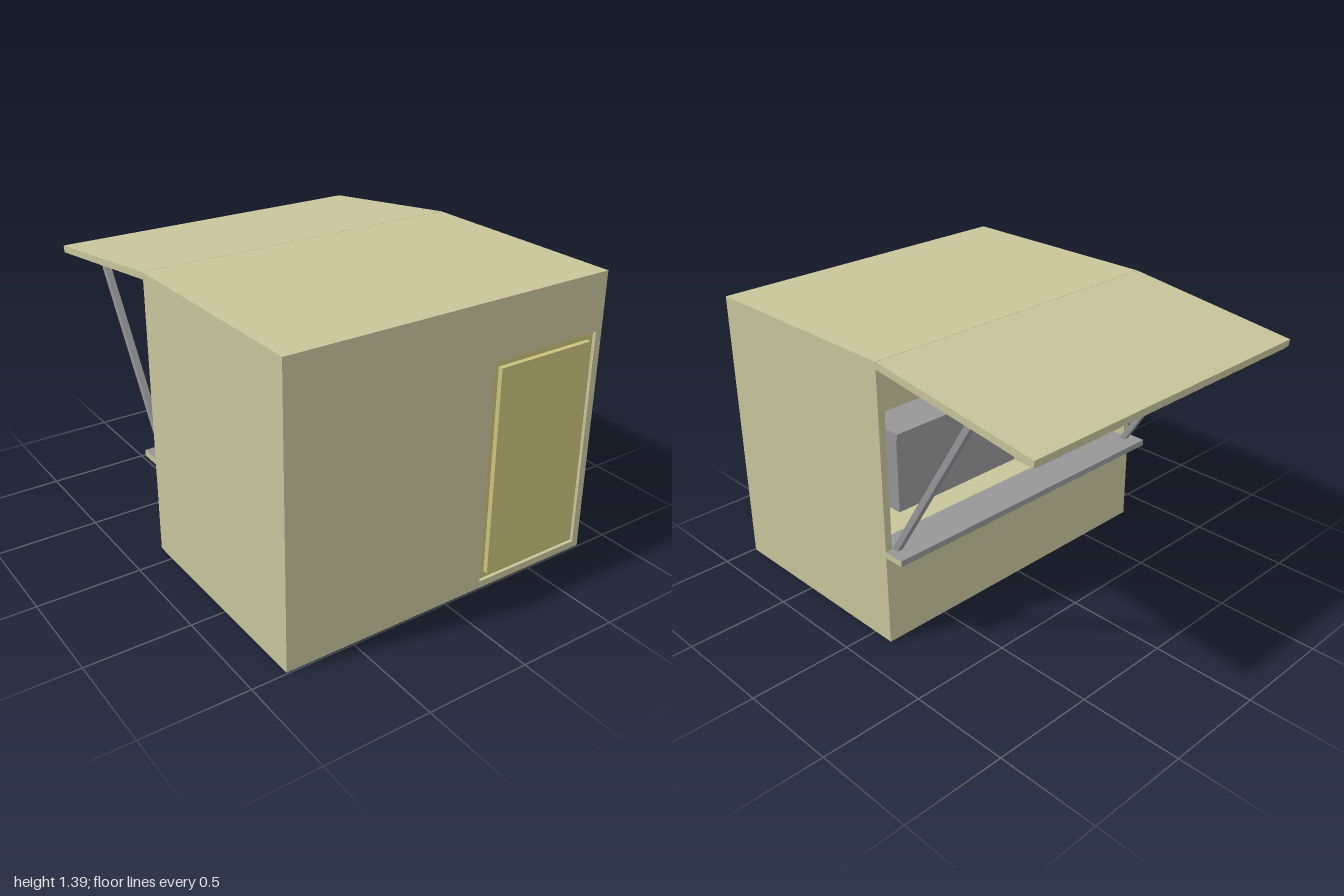
import * as THREE from 'three';

const wallPaint = new THREE.MeshStandardMaterial({ name: 'beige paint', color: 0xc8c59b });
const doorPaint = new THREE.MeshStandardMaterial({ name: 'yellow door paint', color: 0xcac37e });
const metal = new THREE.MeshStandardMaterial({ name: 'grey metal', color: 0x969698 });

// Box given by its limits on each axis
function box(parent, name, material, [x0, x1], [y0, y1], [z0, z1]) {
  const mesh = new THREE.Mesh(new THREE.BoxGeometry(x1 - x0, y1 - y0, z1 - z0), material);
  mesh.position.set((x0 + x1) / 2, (y0 + y1) / 2, (z0 + z1) / 2);
  mesh.name = name;
  parent.add(mesh);
  return mesh;
}

function rectangle(PathType, x0, x1, y0, y1) {
  return new PathType([[x0, y0], [x1, y0], [x1, y1], [x0, y1]].map(([x, y]) => new THREE.Vector2(x, y)));
}

const W = 0.83, H = 1.39, T = 0.035;
const BACK = -0.11, FRONT = 0.993;

export function createModel() {
  const model = new THREE.Group();
  model.name = 'kiosk';

  // Hollow cabin, open at the back above the counter
  const cabin = new THREE.Group();
  cabin.name = 'cabin';
  model.add(cabin);
  box(cabin, 'floor', wallPaint, [-W, W], [0, T], [BACK, FRONT - T]);
  box(cabin, 'roof', wallPaint, [-W, W], [H - T, H], [BACK, FRONT - T]);
  for (const s of [-1, 1]) {
    const xs = s > 0 ? [W - T, W] : [-W, T - W];
    box(cabin, 'sideWall', wallPaint, xs, [T, H - T], [BACK, FRONT - T]);
  }
  box(cabin, 'backWall', wallPaint, [T - W, W - T], [T, 0.455], [BACK, BACK + T]);

  // Front wall with the door opening
  const wall = rectangle(THREE.Shape, -W, W, 0, H);
  wall.holes.push(rectangle(THREE.Path, 0.205, 0.795, 0.035, 1.115));
  const frontWall = new THREE.Mesh(
    new THREE.ExtrudeGeometry(wall, { depth: T, bevelEnabled: false }), wallPaint);
  frontWall.position.z = FRONT - T;
  frontWall.name = 'frontWall';
  cabin.add(frontWall);

  // Recessed door with a raised panel
  const door = new THREE.Group();
  door.name = 'door';
  model.add(door);
  box(door, 'doorLeaf', doorPaint, [0.205, 0.795], [0.035, 1.115], [FRONT - T, 0.977]);
  box(door, 'doorPanel', doorPaint, [0.24, 0.76], [0.07, 1.08], [0.977, 1]);

  // Serving counter with painted ends; its inner half fits between the walls
  const ends = [wallPaint, wallPaint, metal, metal, metal, metal];
  box(model, 'counter', ends, [-W, W], [0.455, 0.485], [-0.215, BACK]);
  box(model, 'innerCounter', metal, [T - W, W - T], [0.455, 0.485], [BACK, -0.012]);

  // Cabinet along the inside of the front wall
  box(model, 'cabinet', metal, [T - W, 0.09], [T, 0.49], [0.71, FRONT - T]);
  box(model, 'cabinetTop', metal, [T - W, 0.1], [0.49, 0.52], [0.69, FRONT - T]);

  // Raised awning flap, hinged on the roof edge and sloping down to the back
  const slope = Math.atan2(0.115, 0.888);
  const length = Math.hypot(0.115, 0.888);
  const flap = new THREE.Group();
  flap.name = 'awningFlap';
  flap.position.set(0, H, BACK - 0.002);
  flap.rotation.x = -slope;
  model.add(flap);
  box(flap, 'flapPanel', wallPaint, [-W, W], [-0.034, 0], [-length, 0]);

  // Planks lining the underside of the flap
  const planks = 8, pitch = (2 * W - 0.02) / planks;
  for (let i = 0; i < planks; i++) {
    const x = -W + 0.01 + i * pitch;
    box(flap, 'plank', wallPaint, [x + 0.006, x + pitch - 0.006], [-0.041, -0.034], [-length + 0.004, -0.006]);
  }

  // Struts from the counter to the flap
  const foot = new THREE.Vector3(0, 0.48, -0.122);
  const head = new THREE.Vector3(0, 1.295, -0.632);
  const along = head.clone().sub(foot);
  for (const s of [-1, 1]) {
    const strut = new THREE.Mesh(new THREE.BoxGeometry(0.03, along.length(), 0.03), metal);
    strut.position.copy(foot).add(head).multiplyScalar(0.5);
    strut.position.x = s * 0.777;
    strut.rotation.x = Math.atan2(along.z, along.y);
    strut.name = 'strut';
    model.add(strut);
  }
  return model;
}
